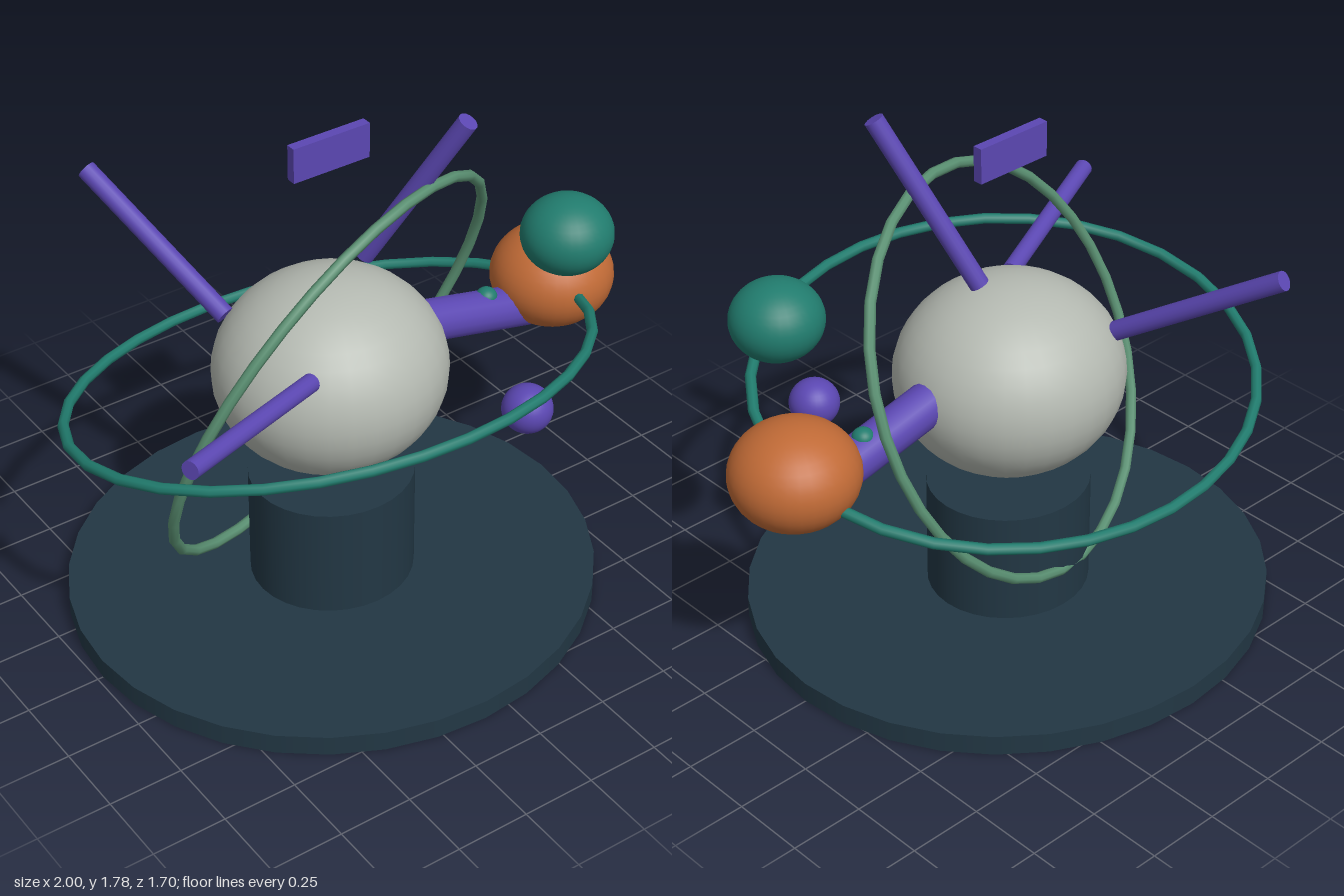
import * as THREE from 'three';

const mat = (name, color) => {
  const m = new THREE.MeshStandardMaterial({ color });
  m.name = name;
  return m;
};

// Closed loop c + a cos t + b sin t: an ellipse tilted in space
class TiltedEllipse extends THREE.Curve {
  constructor(c, a, b) {
    super();
    this.c = new THREE.Vector3(...c);
    this.a = new THREE.Vector3(...a);
    this.b = new THREE.Vector3(...b);
  }
  getPoint(u, target = new THREE.Vector3()) {
    const t = u * Math.PI * 2;
    return target.copy(this.c).addScaledVector(this.a, Math.cos(t)).addScaledVector(this.b, Math.sin(t));
  }
}

export function createModel() {
  const group = new THREE.Group();
  const slate = mat('dark slate', 0x223744);
  const grey = mat('pale grey', 0xb4b9b1);
  const orange = mat('copper orange', 0xc06a36);
  const teal = mat('deep teal', 0x217c6e);
  const green = mat('sage green', 0x5a9072);
  const violet = mat('violet', 0x5b47b2);

  const add = (name, geometry, material, pos = [0, 0, 0], scale = [1, 1, 1]) => {
    const mesh = new THREE.Mesh(geometry, material);
    mesh.name = name;
    mesh.position.set(...pos);
    mesh.scale.set(...scale);
    group.add(mesh);
    return mesh;
  };
  const ball = (name, material, pos, radii) =>
    add(name, new THREE.SphereGeometry(1, 32, 20), material, pos, radii);
  const ring = (name, material, c, a, b) =>
    add(name, new THREE.TubeGeometry(new TiltedEllipse(c, a, b), 32, 0.018, 8, true), material);
  const rod = (name, radius, from, to) => {
    const p = new THREE.Vector3(...from), q = new THREE.Vector3(...to);
    const d = q.clone().sub(p);
    const mesh = add(name, new THREE.CylinderGeometry(radius, radius, d.length(), 16), violet,
      p.add(q).multiplyScalar(0.5).toArray());
    mesh.quaternion.setFromUnitVectors(new THREE.Vector3(0, 1, 0), d.normalize());
  };

  // Stand
  add('baseDisc', new THREE.CylinderGeometry(1, 1, 0.07, 32), slate, [-0.095, 0.035, 0], [0.885, 1, 0.848]);
  add('pedestal', new THREE.CylinderGeometry(1, 1, 0.39, 32), slate, [-0.095, 0.265, 0], [0.275, 1, 0.264]);

  // Flattened spheres
  ball('centralSphere', grey, [-0.097, 0.855, 0], [0.382, 0.325, 0.37]);
  ball('orangeSphere', orange, [0.791, 0.875, 0], [0.207, 0.17, 0.205]);
  ball('tealSphere', teal, [0.623, 1.228, 0.266], [0.15, 0.128, 0.148]);
  ball('violetSphere', violet, [0.369, 0.746, 0.418], [0.083, 0.08, 0.083]);
  ball('armBead', teal, [0.52, 0.882, 0], [0.036, 0.032, 0.036]);

  // Orbit rings
  ring('tealRing', teal, [-0.097, 0.85, 0], [0.882, 0, 0], [0, 0.163, 0.718]);
  ring('greenRing', green, [-0.097, 0.855, 0], [0.647, 0, -0.207], [0.165, 0.67, 0.209]);

  // Side arm, rods and floating plate
  rod('sideArm', 0.071, [0.2, 0.899, 0], [0.68, 0.789, 0]);
  rod('topRod', 0.032, [0.033, 1.225, 0], [0.222, 1.763, 0.262]);
  rod('leftFrontRod', 0.03, [-0.33, 1.03, 0.24], [-0.91, 1.108, 0.485]);
  rod('leftBackRod', 0.032, [-0.335, 1.01, -0.235], [-0.51, 1.345, -0.76]);
  add('topPlate', new THREE.BoxGeometry(0.275, 0.118, 0.033), violet, [-0.097, 1.643, 0]);

  return group;
}
